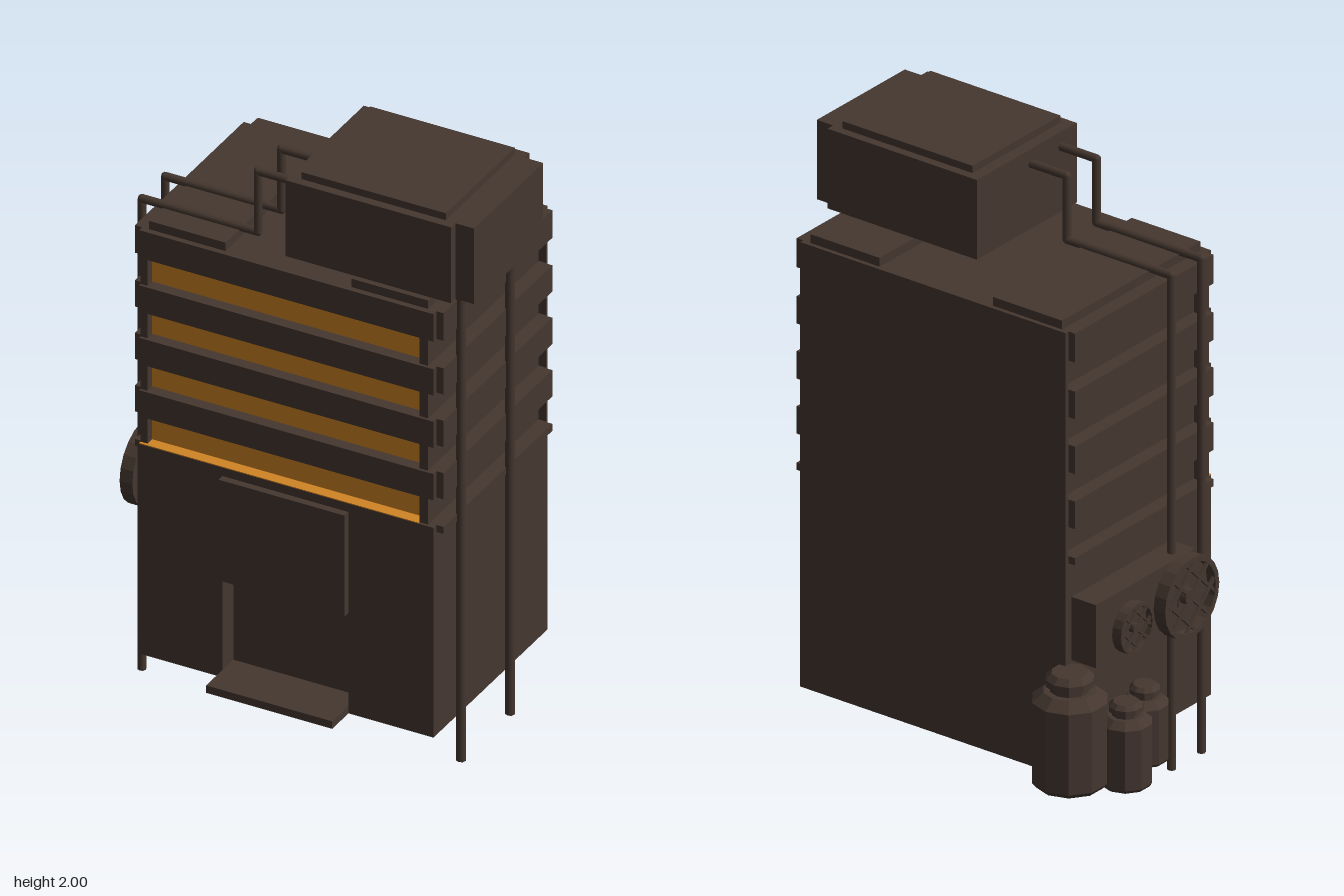
import * as THREE from 'three';

const brown = new THREE.MeshStandardMaterial({ color: 0x45372f });
brown.name = 'dark brown';
const amber = new THREE.MeshStandardMaterial({ color: 0xd08424 });
amber.name = 'amber window';

export function createModel() {
  const root = new THREE.Group();
  root.name = 'building';

  const add = (name, geo, mat = brown, parent = root) => {
    const m = new THREE.Mesh(geo, mat);
    m.name = name;
    parent.add(m);
    return m;
  };
  // box given by its limits on each axis
  const box = (name, [x0, x1], [y0, y1], [z0, z1], mat = brown, parent = root) => {
    const m = add(name, new THREE.BoxGeometry(x1 - x0, y1 - y0, z1 - z0), mat, parent);
    m.position.set((x0 + x1) / 2, (y0 + y1) / 2, (z0 + z1) / 2);
    return m;
  };

  const L = -0.455, R = 0.585, B = -0.35, F = 0.385, T = 0.012;
  const base = 0.135, mid = 0.88;
  const door = [-0.16, 0.285], doorTop = 0.5;

  // hollow ground floor, open underneath
  box('leftWall', [L, L + T], [base, mid], [B, F]);
  box('rightWall', [R - T, R], [base, mid], [B, F]);
  box('backWall', [L, R], [base, 1.67], [B, B + T]);
  const wall = new THREE.Shape([
    [L, base], [door[0], base], [door[0], doorTop], [door[1], doorTop],
    [door[1], base], [R, base], [R, mid], [L, mid],
  ].map(p => new THREE.Vector2(...p)));
  const front = add('frontWall', new THREE.ExtrudeGeometry(wall, { depth: T, bevelEnabled: false }));
  front.position.z = F - T;

  // recessed entrance
  const inner = 0.315;
  box('doorPanel', door, [base, doorTop], [inner - T, inner]);
  box('doorHead', door, [doorTop, doorTop + T], [inner - T, F]);
  box('doorJamb', [door[0] - T, door[0]], [base, doorTop], [inner - T, F]);
  box('doorJamb', [door[1], door[1] + T], [base, doorTop], [inner - T, F]);
  box('doorStep', door, [base, 0.162], [inner, 0.49]);
  box('entranceSign', door, [doorTop, 0.865], [F - T, 0.41]);

  // upper storeys: recessed core, floor bands and lit window strips
  box('upperCore', [-0.43, 0.56], [mid, 1.66], [B + T, 0.34]);
  box('cornerColumn', [L, -0.43], [mid, 1.6], [0.33, 0.375]);
  box('cornerColumn', [0.53, 0.56], [mid, 1.6], [0.33, 0.375]);
  const bands = [[0.87, 0.895], [0.995, 1.09], [1.185, 1.28], [1.375, 1.47], [1.57, 1.67]];
  bands.forEach((y, i) => {
    box('floorBand', [L, R], y, [B, F]);
    box('sideBand', [-0.48, 0.61], y, [-0.335, 0.365]);
    if (i < 4) box('windowStrip', [-0.43, 0.53], [y[1], bands[i + 1][0]], [0.338, 0.345], amber);
  });
  box('windowLedge', [-0.455, 0.53], [0.893, 0.898], [0.34, F - 0.001], amber);

  // roof slabs and tank house
  box('roofSlab', [-0.43, -0.16], [1.66, 1.7], [-0.335, 0.365]);
  box('roofSlab', [0.285, 0.555], [1.66, 1.7], [-0.335, 0.365]);
  const house = new THREE.Group();
  house.name = 'roofHouse';
  root.add(house);
  box('houseBody', [0.04, 0.625], [1.7, 1.975], [-0.16, 0.345], brown, house);
  box('houseTop', [0.08, 0.59], [1.9, 2], [-0.13, 0.315], brown, house);
  box('houseEnd', [0.6, 0.69], [1.7, 1.974], [-0.13, 0.315], brown, house);

  // pipes made of straight runs with ball joints
  const pipe = (name, pts, r) => {
    const g = new THREE.Group();
    g.name = name;
    root.add(g);
    const v = pts.map(p => new THREE.Vector3(...p));
    for (let i = 0; i + 1 < v.length; i++) {
      const d = v[i + 1].clone().sub(v[i]);
      const run = add('pipeRun', new THREE.CylinderGeometry(r, r, d.length(), 8), brown, g);
      run.position.copy(v[i]).addScaledVector(d, 0.5);
      run.quaternion.setFromUnitVectors(new THREE.Vector3(0, 1, 0), d.normalize());
      if (i > 0) add('pipeElbow', new THREE.SphereGeometry(r, 8, 6), brown, g).position.copy(v[i]);
    }
  };
  for (const z of [0.115, 0.265]) {
    pipe('roofPipe', [[-0.51, 0, z], [-0.51, 1.705, z], [-0.1, 1.705, z],
      [-0.1, 1.925, z], [0.06, 1.925, z]], 0.014);
  }
  for (const z of [-0.05, 0.265]) pipe('sidePipe', [[0.617, 0, z], [0.617, 1.695, z]], 0.016);

  // ventilation unit with two grilled fans on the left-hand wall
  box('ventUnit', [-0.55, L], [0.53, 0.748], [-0.32, 0.183]);
  const fan = (z, r, depth) => {
    const g = new THREE.Group();
    g.name = 'fan';
    g.position.set(-0.61, 0.632, z);
    g.rotation.z = Math.PI / 2;
    root.add(g);
    const t = r * 0.13;
    const rim = [[r - t, 0], [r, 0], [r, -depth], [r - t, -depth], [r - t, 0]]
      .map(p => new THREE.Vector2(...p)).reverse();
    const m = brown.clone();
    add('fanRim', new THREE.LatheGeometry(rim, 20).toNonIndexed(), brown, g).geometry.computeVertexNormals();
    add('fanBack', new THREE.CylinderGeometry(r - t, r - t, 0.01, 20), brown, g).position.y = -depth + 0.006;
    add('fanHub', new THREE.CylinderGeometry(r * 0.2, r * 0.2, depth, 10), brown, g).position.y = -depth / 2 - 0.004;
    // crossed diagonal bars
    for (const a of [Math.PI / 4, -Math.PI / 4]) {
      for (const k of [-0.5, 0, 0.5]) {
        const len = 2 * r * Math.sqrt(1 - k * k) * 0.96;
        const bar = add('fanBar', new THREE.BoxGeometry(len, 0.01, r * 0.08), brown, g);
        bar.rotation.y = a;
        bar.position.set(Math.sin(a) * k * r, -0.008, Math.cos(a) * k * r);
      }
    }
  };
  fan(0.09, 0.137, 0.045);
  fan(-0.185, 0.085, 0.035);
  box('fanShaft', [-0.58, -0.54], [0.6, 0.66], [0.06, 0.12]);
  box('fanShaft', [-0.58, -0.54], [0.6, 0.66], [-0.21, -0.16]);

  // storage tanks: body, shoulder, neck and cap
  const tank = (x, z, r, y0, h) => {
    const profile = [[0, 0], [0.9, 0], [1, 0.04], [1, 0.76], [0.7, 0.84], [0.52, 0.84], [0.52, 0.89],
      [0.64, 0.89], [0.64, 0.95], [0.48, 1], [0, 1]].map(([a, b]) => new THREE.Vector2(a * r, b * h));
    const geo = new THREE.LatheGeometry(profile, 10).toNonIndexed();
    geo.computeVertexNormals();
    add('storageTank', geo).position.set(x, y0, z);
  };
  tank(-0.487, -0.37, 0.122, 0.135, 0.385);
  tank(-0.612, -0.248, 0.085, 0.125, 0.285);
  tank(-0.56, -0.085, 0.077, 0.13, 0.26);

  return root;
}
